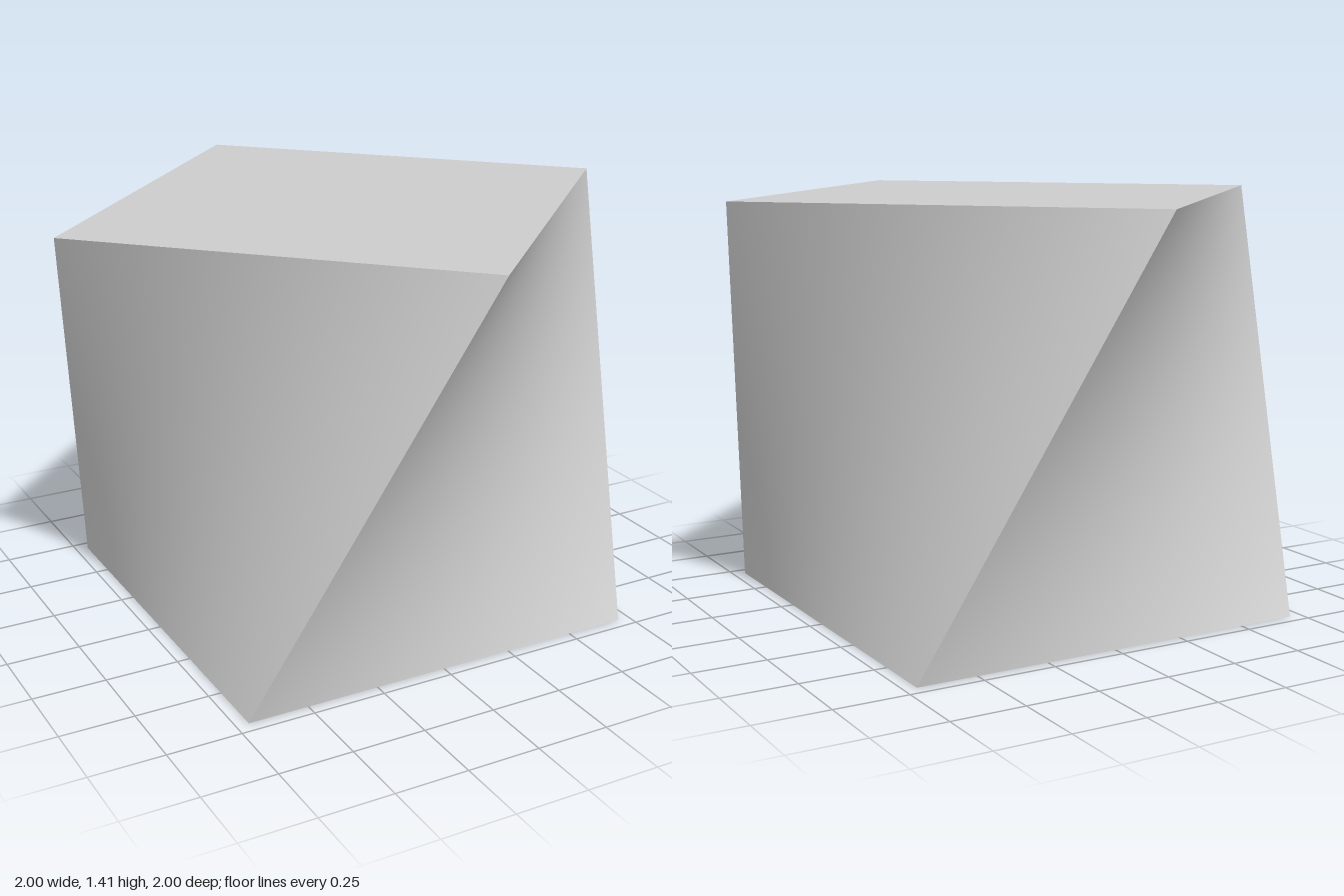
import * as THREE from 'three';

const SIDE = Math.SQRT2; // cube edge, so the turned top spans 2 units
const SEGMENTS = 48;

// Cube whose top is turned an eighth of a turn, with straight edges
// joining the two squares, so each side is a smooth ruled surface.
function twistedCubeGeometry() {
  const geometry = new THREE.BoxGeometry(SIDE, SIDE, SIDE, SEGMENTS, SEGMENTS, SEGMENTS);
  geometry.translate(0, SIDE / 2, 0);
  const position = geometry.attributes.position;
  const turned = new THREE.Vector3();
  const point = new THREE.Vector3();
  const up = new THREE.Vector3(0, 1, 0);
  for (let i = 0; i < position.count; i++) {
    point.fromBufferAttribute(position, i);
    turned.copy(point).applyAxisAngle(up, Math.PI / 4);
    point.lerp(turned, point.y / SIDE);
    position.setXYZ(i, point.x, point.y, point.z);
  }
  // Box faces do not share vertices, so their borders stay sharp
  geometry.computeVertexNormals();
  return geometry;
}

export function createModel() {
  const model = new THREE.Group();
  model.name = 'twistedCubeModel';
  const material = new THREE.MeshStandardMaterial({ color: 0xcccccc });
  const cube = new THREE.Mesh(twistedCubeGeometry(), material);
  cube.name = 'twistedCube';
  model.add(cube);
  return model;
}
